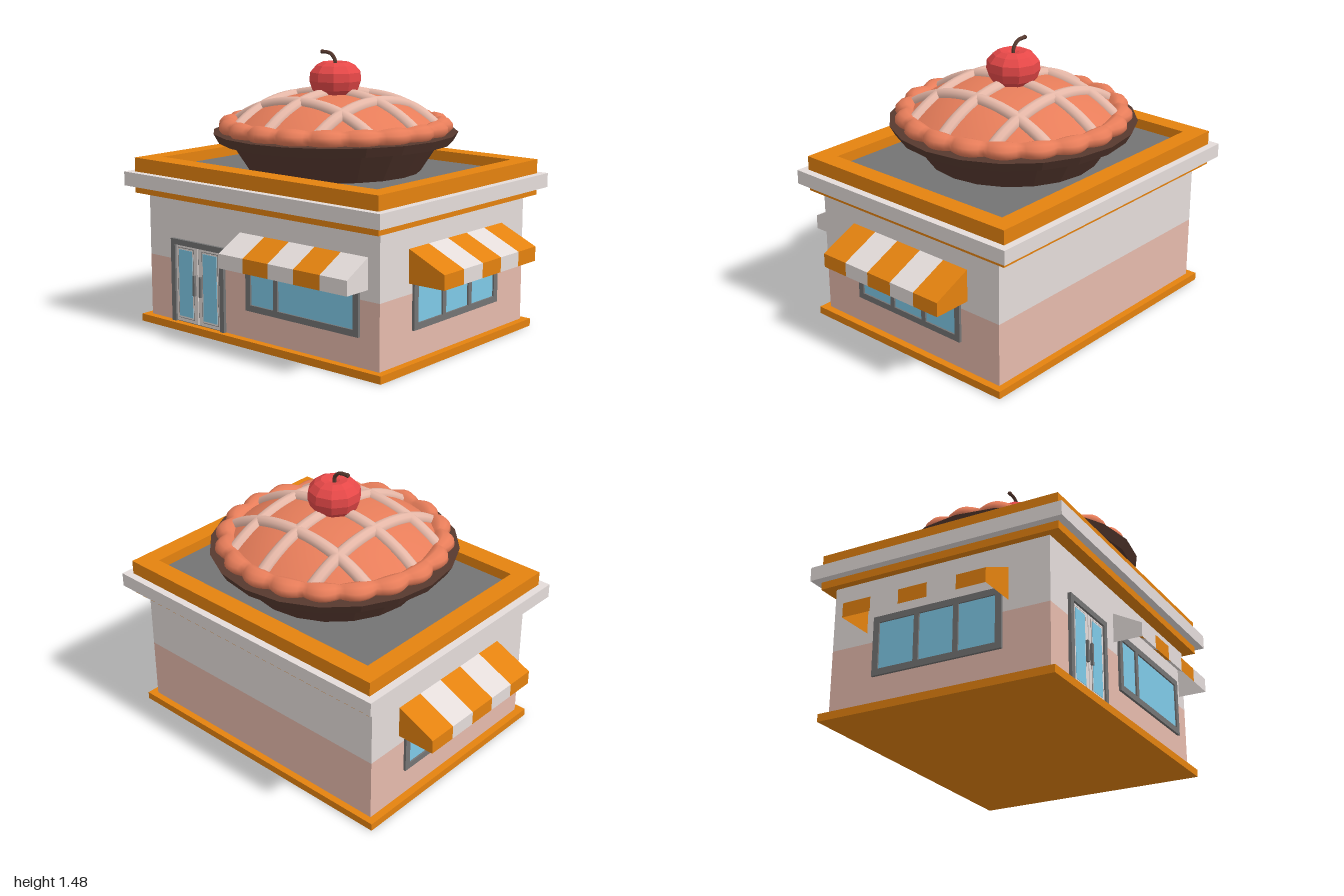
import * as THREE from 'three';

const mat = (name, color, opts = {}) => {
  const m = new THREE.MeshStandardMaterial({ color, ...opts });
  m.name = name;
  return m;
};
const M = {
  orange: mat('orange', 0xe4820f, { side: THREE.DoubleSide }),
  white: mat('warm white', 0xe4dcda, { side: THREE.DoubleSide }),
  pink: mat('pink plaster', 0xe6baac),
  grey: mat('grey', 0x747474),
  glass: mat('glass blue', 0x7fcae8),
  crust: mat('baked crust', 0xec805c),
  lattice: mat('pale pastry', 0xe6b8a8, { side: THREE.DoubleSide }),
  tin: mat('dark tin', 0x57392f, { flatShading: true }),
  cherry: mat('cherry red', 0xe64848, { flatShading: true }),
};
const ZC = -0.028; // centre of building and pie in z

function add(parent, name, geometry, material) {
  const mesh = new THREE.Mesh(geometry, material);
  mesh.name = name;
  parent.add(mesh);
  return mesh;
}

// Box given by its two extreme corners
function box(parent, name, material, x0, x1, y0, y1, z0, z1) {
  const mesh = add(parent, name, new THREE.BoxGeometry(x1 - x0, y1 - y0, z1 - z0), material);
  mesh.position.set((x0 + x1) / 2, (y0 + y1) / 2, (z0 + z1) / 2);
  return mesh;
}

const lathe = (points, sides) =>
  new THREE.LatheGeometry(points.map(([r, y]) => new THREE.Vector2(r, y)), sides);

// Framed window facing +z, x centred on 0; mullions are x positions
function makeWindow(name, w, mullions) {
  const g = new THREE.Group();
  g.name = name;
  const h = w / 2, y0 = 0.19, y1 = 0.5, t = 0.033, d = 0.014;
  box(g, 'windowGlass', M.glass, -h + t, h - t, y0 + t, y1 - t, 0, 0.005);
  box(g, 'windowSill', M.grey, -h, h, y0, y0 + t, 0, d);
  box(g, 'windowHead', M.grey, -h, h, y1 - t, y1, 0, d);
  for (const s of [-1, 1]) {
    const x = s * (h - t / 2);
    box(g, 'windowJamb', M.grey, x - t / 2, x + t / 2, y0 + t, y1 - t, 0, d);
  }
  for (const x of mullions) box(g, 'mullion', M.grey, x - 0.014, x + 0.014, y0 + t, y1 - t, 0, d);
  return g;
}

// Open-bottomed striped awning facing +z
function makeAwning(name, w, depth, top, colours) {
  const g = new THREE.Group();
  g.name = name;
  const lip = 0.505, low = 0.43, n = 5, step = w / n;
  for (let i = 0; i < n; i++) {
    const a = -w / 2 + i * step, b = a + step;
    const p = [
      a, top, 0, a, lip, depth, b, lip, depth, a, top, 0, b, lip, depth, b, top, 0,
      a, lip, depth, a, low, depth, b, low, depth, a, lip, depth, b, low, depth, b, lip, depth,
    ];
    const geo = new THREE.BufferGeometry();
    geo.setAttribute('position', new THREE.Float32BufferAttribute(p, 3));
    geo.computeVertexNormals();
    add(g, 'awningStripe', geo, colours[i % 2]);
  }
  const side = new THREE.Shape([[0, low], [depth, low], [depth, lip], [0, top]]
    .map(([x, y]) => new THREE.Vector2(x, y)));
  for (const s of [-1, 1]) {
    const end = add(g, 'awningEnd', new THREE.ShapeGeometry(side), colours[0]);
    end.rotation.y = -Math.PI / 2;
    end.position.x = s * w / 2;
  }
  return g;
}

function makeBuilding() {
  const g = new THREE.Group();
  g.name = 'building';
  box(g, 'plinth', M.orange, -0.83, 0.83, 0, 0.04, -0.67, 0.62);
  box(g, 'lowerWalls', M.pink, -0.79, 0.79, 0.04, 0.375, -0.633, 0.58);
  box(g, 'upperWalls', M.white, -0.79, 0.79, 0.375, 0.715, -0.633, 0.58);
  box(g, 'lowerCornice', M.orange, -0.83, 0.83, 0.715, 0.755, -0.7, 0.645);
  box(g, 'cornice', M.white, -0.872, 0.872, 0.755, 0.83, -0.74, 0.685);
  box(g, 'roof', M.grey, -0.74, 0.74, 0.83, 0.85, -0.61, 0.54);
  // Parapet ring
  for (const s of [-1, 1]) {
    const x = s * 0.78;
    box(g, 'parapetSide', M.orange, x - 0.05, x + 0.05, 0.83, 0.905, -0.7, 0.645);
  }
  box(g, 'parapetBack', M.orange, -0.73, 0.73, 0.83, 0.905, -0.7, -0.6);
  box(g, 'parapetFront', M.orange, -0.73, 0.73, 0.83, 0.905, 0.53, 0.645);

  // Front window and awning
  const win = makeWindow('frontWindow', 0.74, [-0.165]);
  win.position.set(0.3, 0, 0.58);
  const awn = makeAwning('frontAwning', 0.835, 0.155, 0.588, [M.white, M.orange]);
  awn.position.set(0.302, 0, 0.581);
  g.add(win, awn);
  // Matching windows and awnings on both sides
  for (const s of [-1, 1]) {
    const sw = makeWindow('sideWindow', 0.715, [-0.11, 0.11]);
    sw.position.set(s * 0.79, 0, ZC);
    const sa = makeAwning('sideAwning', 0.79, 0.209, 0.6, [M.orange, M.white]);
    sa.position.set(s * 0.791, 0, -0.035);
    sw.rotation.y = sa.rotation.y = s * Math.PI / 2;
    g.add(sw, sa);
  }
  return g;
}

// Double door, centred on its own x = 0
function makeDoor() {
  const g = new THREE.Group();
  g.name = 'doubleDoor';
  box(g, 'doorHead', M.grey, -0.195, 0.195, 0.46, 0.49, 0, 0.017);
  box(g, 'doorGap', M.grey, -0.17, 0.17, 0.04, 0.46, 0, 0.003);
  for (const s of [-1, 1]) {
    const bar = (name, m, c, w, y0, y1, z0, z1) =>
      box(g, name, m, s * c - w / 2, s * c + w / 2, y0, y1, z0, z1);
    bar('doorJamb', M.grey, 0.18, 0.03, 0.04, 0.46, 0, 0.017);
    bar('doorLeaf', M.white, 0.083, 0.16, 0.045, 0.457, 0.003, 0.008);
    bar('doorGlassTrim', M.grey, 0.09, 0.12, 0.062, 0.447, 0.008, 0.009);
    bar('doorGlassBorder', M.white, 0.09, 0.114, 0.065, 0.444, 0.009, 0.01);
    bar('doorGlass', M.glass, 0.09, 0.1, 0.074, 0.436, 0.01, 0.012);
    bar('doorHandle', M.grey, 0.023, 0.014, 0.2, 0.31, 0.008, 0.022);
  }
  g.position.set(-0.42, 0, 0.58);
  return g;
}

// Height of the pie filling at radius r
const domeY = (r) => 1.255 - 0.15 * Math.pow(r / 0.52, 2.5);

function makePie() {
  const g = new THREE.Group();
  g.name = 'pie';
  add(g, 'pieTin', lathe([[0, 0.851], [0.455, 0.851], [0.555, 1.005], [0.62, 1.005],
    [0.648, 1.055], [0.5, 1.055]], 20), M.tin);

  // Crust ring with twenty scallops
  const crust = lathe([[0.54, 1.05], [0.6, 1.052], [0.62, 1.075], [0.617, 1.1],
    [0.595, 1.125], [0.56, 1.135], [0.53, 1.125], [0.5, 1.09]], 160);
  const p = crust.attributes.position;
  for (let i = 0; i < p.count; i++) {
    const x = p.getX(i), z = p.getZ(i), r = Math.hypot(x, z);
    const dip = 1 - Math.abs(Math.cos(10 * Math.atan2(x, z)));
    const k = 1 - 0.055 * dip * Math.min(1, Math.max(0, (r - 0.52) / 0.08));
    p.setXYZ(i, x * k, p.getY(i) - 0.012 * dip * (p.getY(i) > 1.11 ? 1 : 0), z * k);
  }
  crust.computeVertexNormals();
  add(g, 'crust', crust, M.crust);

  const dome = [];
  for (let i = 10; i >= 0; i--) dome.push([0.054 * i, domeY(0.054 * i)]);
  add(g, 'filling', lathe(dome, 40), M.crust);

  // Lattice strips following the dome, three each way
  for (const turn of [0, Math.PI / 2]) {
    for (const off of [-0.27, 0, 0.27]) {
      const half = off ? 0.465 : 0.535, pts = [];
      for (let i = -6; i <= 6; i++) {
        const x = half * i / 6;
        pts.push(new THREE.Vector3(x, domeY(Math.hypot(x, off)) - 0.006, off));
      }
      const strip = add(g, 'latticeStrip',
        new THREE.TubeGeometry(new THREE.CatmullRomCurve3(pts), 24, 0.036, 10), M.lattice);
      strip.rotation.y = turn;
    }
  }

  // Cherry and stem
  add(g, 'cherry', lathe([[0, 1.23], [0.09, 1.235], [0.125, 1.275], [0.14, 1.32], [0.136, 1.365],
    [0.105, 1.4], [0.07, 1.417], [0.03, 1.41], [0, 1.395]], 10), M.cherry);
  const stem = new THREE.CatmullRomCurve3([[0, 1.39], [-0.004, 1.43], [-0.035, 1.46], [-0.092, 1.466]]
    .map(([x, y]) => new THREE.Vector3(x, y, 0)));
  add(g, 'cherryStem', new THREE.TubeGeometry(stem, 10, 0.01, 6), M.tin);
  const tip = add(g, 'stemTip', new THREE.SphereGeometry(0.012, 6, 5), M.tin);
  tip.position.set(-0.09, 1.466, 0);
  g.position.z = ZC;
  return g;
}

export function createModel() {
  const model = new THREE.Group();
  model.name = 'pieShop';
  model.add(makeBuilding(), makeDoor(), makePie());
  return model;
}
